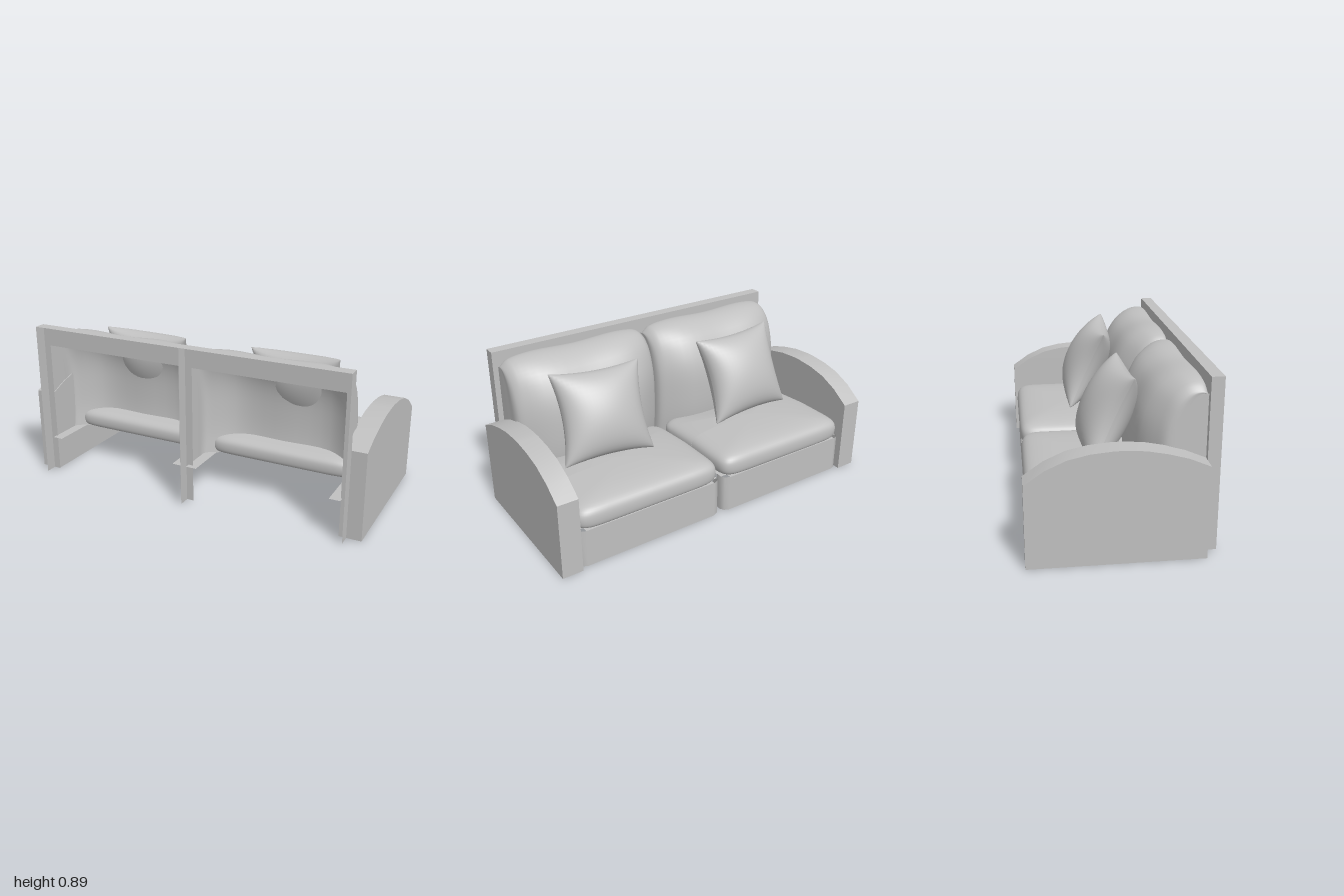
import * as THREE from 'three';

const fabric = new THREE.MeshStandardMaterial({ color: 0xc0c0c0, side: THREE.DoubleSide });
fabric.name = 'grey fabric';

function mesh(name, geometry) {
  const m = new THREE.Mesh(geometry, fabric);
  m.name = name;
  return m;
}

function group(name, ...parts) {
  const g = new THREE.Group();
  g.name = name;
  return g.add(...parts);
}

// Smooth sheet of (nu + 1) x (nv + 1) points from a rule f(u, v) -> [x, y, z]
function sheet(nu, nv, f) {
  const pos = [], index = [];
  for (let j = 0; j <= nv; j++)
    for (let i = 0; i <= nu; i++) pos.push(...f(i / nu, j / nv));
  for (let j = 0; j < nv; j++)
    for (let i = 0; i < nu; i++) {
      const a = j * (nu + 1) + i, b = a + 1, c = a + nu + 1, d = c + 1;
      index.push(a, b, d, a, d, c);
    }
  const g = new THREE.BufferGeometry();
  g.setAttribute('position', new THREE.Float32BufferAttribute(pos, 3));
  g.setIndex(index);
  g.computeVertexNormals();
  return g;
}

const spline = pts => new THREE.CatmullRomCurve3(
  pts.map(p => new THREE.Vector3(p[0], p[1], p[2] || 0)), false, 'centripetal');

const flatShape = pts => new THREE.ShapeGeometry(
  new THREE.Shape(pts.map(([x, y]) => new THREE.Vector2(x, y))));

// Hollow back frame: pierced front face, outer side walls, top wall and a middle fin
function backFrame() {
  const face = flatShape([[-0.92, 0], [-0.88, 0], [-0.88, 0.77], [-0.04, 0.77], [-0.04, 0],
    [0.04, 0], [0.04, 0.77], [0.88, 0.77], [0.88, 0], [0.92, 0], [0.92, 0.89], [-0.92, 0.89]]);
  const frame = group('backFrame', mesh('frameFace', face.translate(0, 0, 0.405)),
    mesh('frameTop', new THREE.PlaneGeometry(1.84, 0.065).rotateX(-Math.PI / 2)
      .translate(0, 0.89, 0.4375)));
  for (const x of [-0.92, 0, 0.92])
    frame.add(mesh('frameWall', new THREE.PlaneGeometry(0.065, 0.89).rotateY(Math.PI / 2)
      .translate(x, 0.445, 0.4375)));
  return frame;
}

// Arm with a shallow arched top, open underneath
const arch = [[-0.405, 0.48], [-0.3, 0.525], [-0.2, 0.553], [-0.1, 0.573], [0, 0.58],
  [0.05, 0.58], [0.16, 0.57], [0.265, 0.547], [0.37, 0.5], [0.47, 0.43]];
function arm(side) {
  const inner = side * 0.885, outer = side;
  const wall = x => mesh('armSide', flatShape([[-0.405, 0], ...arch, [0.47, 0]])
    .rotateY(Math.PI / 2).translate(x, 0, 0));
  const across = u => inner + (outer - inner) * u;
  const end = ([d, h]) => mesh('armEnd', sheet(1, 1, (u, v) => [across(u), h * v, -d]));
  const top = mesh('armTop', sheet(1, arch.length - 1, (u, v) => {
    const [d, h] = arch[Math.round(v * (arch.length - 1))];
    return [across(u), h, -d];
  }));
  return group(side > 0 ? 'leftArm' : 'rightArm', wall(inner), wall(outer), top,
    end(arch[0]), end(arch[arch.length - 1]));
}

// Back cushion: a bulging shell open towards the frame and below
const backProfile = spline([[0.405, 0.825], [0.385, 0.86], [0.33, 0.867], [0.26, 0.85],
  [0.185, 0.795], [0.13, 0.7], [0.103, 0.6], [0.097, 0.45], [0.105, 0.32], [0.125, 0.21]]);
// across the cushion: x share, depth share, height share
const half = [[1, 0, 0.9], [1, 0.35, 0.9], [0.99, 0.62, 0.92], [0.9, 0.75, 0.97], [0.58, 0.99, 1]];
const backSpan = spline([...half.map(([x, d, h]) => [-x, d, h]), [0, 1, 0.985],
  ...[...half].reverse()]);
function backCushion() {
  return mesh('backCushion', sheet(40, 32, (u, v) => {
    const a = backSpan.getPoint(u), p = backProfile.getPoint(v);
    return [0.44 * a.x, 0.21 + (p.y - 0.21) * a.z, 0.405 - (0.405 - p.x) * a.y];
  }));
}

// Seat cushion: rounded-rectangle rings, softly crowned and lower at the rear
const seatProfile = spline([[0, 0.215], [0.6, 0.215], [0.95, 0.214], [0.99, 0.232], [1, 0.265],
  [0.988, 0.295], [0.93, 0.322], [0.75, 0.342], [0.4, 0.353], [0, 0.356]]);
function seatCushion() {
  const pow = c => Math.sign(c) * Math.abs(c) ** 0.2;
  return mesh('seatCushion', sheet(64, 28, (u, v) => {
    const p = seatProfile.getPoint(v), t = u * Math.PI * 2;
    const z = -0.13 + 0.327 * p.x * pow(Math.sin(t));
    const sag = 1 - 0.18 * THREE.MathUtils.smoothstep(z, -0.1, 0.15);
    return [0.438 * p.x * pow(Math.cos(t)), 0.215 + (p.y - 0.215) * sag, z];
  }));
}

// Seat base: thin front panel wrapped round its corners, with a ledge on three sides
function seatBase() {
  const left = [[-0.437, -0.38], [-0.437, -0.415], [-0.425, -0.438], [-0.395, -0.45]];
  const path = [...left, ...[...left].reverse().map(([x, z]) => [-x, z])];
  const panel = mesh('frontPanel', sheet(path.length - 1, 1, (u, v) => {
    const [x, z] = path[Math.round(u * (path.length - 1))];
    return [x, 0.215 * v, z];
  }));
  const ledge = (w, d, x, z) => mesh('ledge', new THREE.PlaneGeometry(w, d)
    .rotateX(-Math.PI / 2).translate(x, 0.213, z));
  return group('seatBase', panel, ledge(0.79, 0.08, 0, -0.41),
    ledge(0.06, 0.85, -0.407, 0.01), ledge(0.06, 0.85, 0.407, 0.01));
}

// Throw pillow: two puffed faces with drawn-in edges and pointed corners
function pillow() {
  const face = s => mesh('pillowFace', sheet(24, 24, (u, v) => {
    const a = s * Math.sin((u - 0.5) * Math.PI), b = Math.sin((v - 0.5) * Math.PI);
    const p = 1 - a * a, q = 1 - b * b;
    return [0.262 * a * (1 - 0.14 * q), 0.25 * b * (1 - 0.09 * p),
      s * 0.128 * Math.max(p * q, 0) ** 0.45];
  }));
  return group('throwPillow', face(-1), face(1));
}

export function createModel() {
  const sofa = group('sofa', backFrame());
  for (const side of [-1, 1]) {
    const p = pillow();
    p.position.set(side > 0 ? 0.045 : 0, 0.595, -0.02);
    p.rotation.set(0.42, side > 0 ? -0.07 : 0.02, side > 0 ? 0.06 : -0.03);
    const seat = group(side > 0 ? 'leftSeat' : 'rightSeat',
      seatBase(), seatCushion(), backCushion(), p);
    seat.position.x = side * 0.45;
    sofa.add(arm(side), seat);
  }
  return sofa;
}
